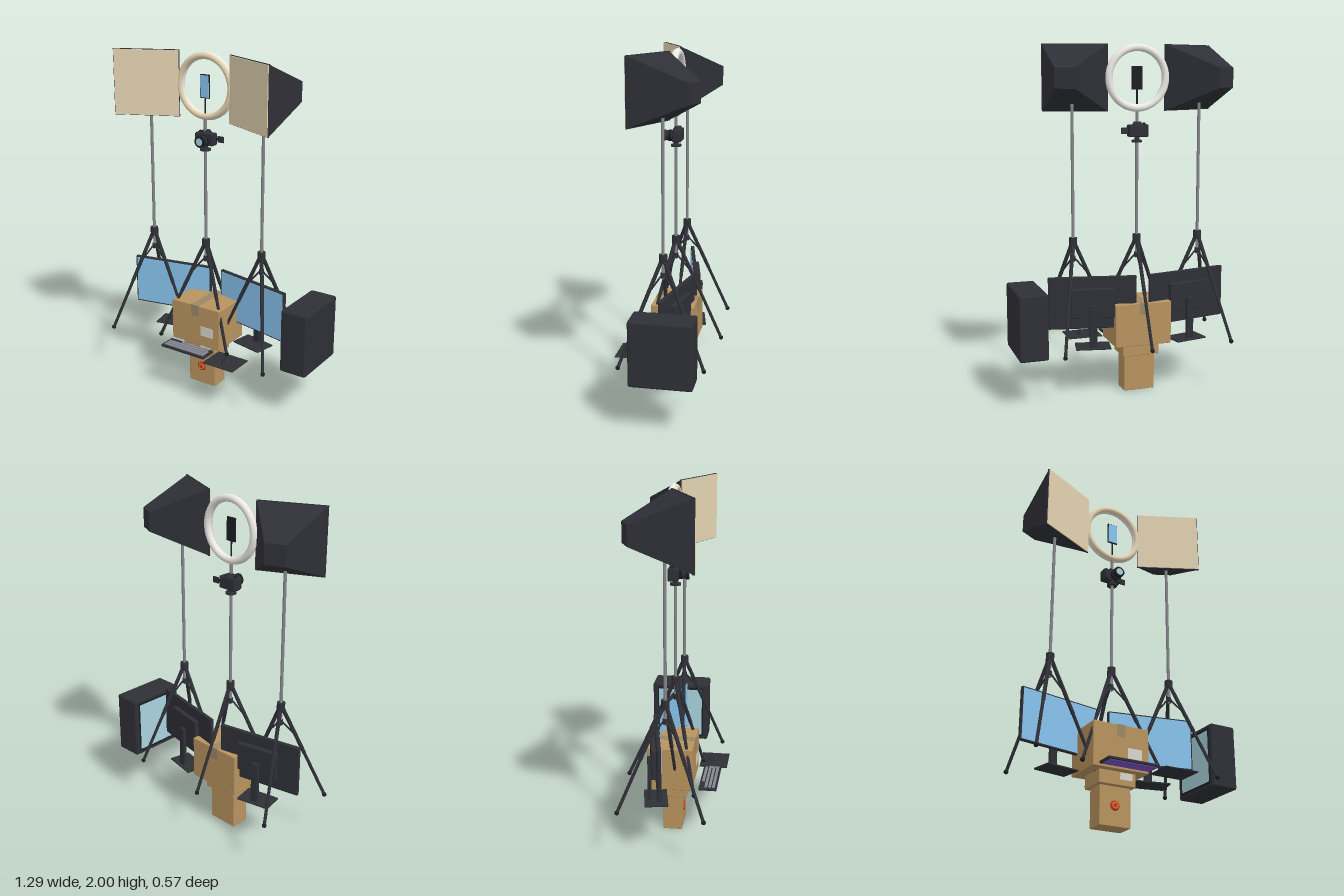
import * as THREE from 'three';
import { RoundedBoxGeometry } from 'three/addons/geometries/RoundedBoxGeometry.js';

const mat = (color) => new THREE.MeshStandardMaterial({ color });
const M = {
  dark: mat(0x2f3037), black: mat(0x1d1e22), metal: mat(0x85878c), card: mat(0xb8935f),
  tape: mat(0x9c8765), paper: mat(0xd8d5cc), screen: mat(0x88c4ee), cream: mat(0xe6d5b3),
  white: mat(0xebe9e4), glass: mat(0xa9d2de), keys: mat(0x858993), purple: mat(0x7d4fc4),
  red: mat(0xc2341f), orange: mat(0xe08a35),
};
const CX = -0.1;      // mirror plane of the studio set
const DESK = 0.29;    // level of the desk items

function add(parent, name, geo, material, x = 0, y = 0, z = 0) {
  const m = new THREE.Mesh(geo, material);
  m.name = name;
  m.position.set(x, y, z);
  parent.add(m);
  return m;
}
const box = (w, h, d) => new THREE.BoxGeometry(w, h, d);
const rbox = (w, h, d, r) => new RoundedBoxGeometry(w, h, d, 3, r);
const cyl = (r, h, n = 20, r2 = r) => new THREE.CylinderGeometry(r, r2, h, n);

function group(parent, name, x = 0, y = 0, z = 0, yaw = 0) {
  const g = new THREE.Group();
  g.name = name;
  g.position.set(x, y, z);
  g.rotation.y = yaw;
  parent.add(g);
  return g;
}

function rod(parent, name, a, b, r, material) {
  const dir = b.clone().sub(a);
  const m = add(parent, name, cyl(r, dir.length(), 12), material);
  m.position.copy(a).lerp(b, 0.5);
  m.quaternion.setFromUnitVectors(new THREE.Vector3(0, 1, 0), dir.normalize());
}

// Pole, collar and three splayed legs
function tripod(g, top) {
  add(g, 'pole', cyl(0.009, top - 0.78, 14), M.metal, 0, (top + 0.78) / 2);
  add(g, 'collar', cyl(0.023, 0.05), M.dark, 0, 0.895);
  add(g, 'lowerCollar', cyl(0.014, 0.03), M.dark, 0, 0.80);
  for (const deg of [-90, 30, 150]) {
    const a = THREE.MathUtils.degToRad(deg), c = Math.cos(a), s = Math.sin(a);
    const at = (r, y) => new THREE.Vector3(c * r, y, s * r);
    const hip = at(0.012, 0.88), foot = at(0.275, 0.3);
    rod(g, 'leg', hip, foot, 0.009, M.dark);
    rod(g, 'legSleeve', hip, hip.clone().lerp(foot, 0.5), 0.011, M.dark);
    rod(g, 'legBrace', at(0.01, 0.80), hip.clone().lerp(foot, 0.3), 0.005, M.dark);
    add(g, 'foot', new THREE.SphereGeometry(0.013, 12, 8), M.black, foot.x, foot.y, foot.z);
  }
}

function softboxStand(root, side) {
  const g = group(root, 'softboxStand', CX + side * 0.38, 0, 0, -side * 0.44);
  tripod(g, 1.7);
  const half = Math.SQRT1_2;
  const shade = new THREE.CylinderGeometry(0.372 * half, 0.11 * half, 0.3, 4, 1).toNonIndexed();
  shade.rotateY(Math.PI / 4).rotateX(Math.PI / 2);
  shade.computeVertexNormals();
  add(g, 'softboxShade', shade, M.dark, 0, 1.81, -0.055);
  add(g, 'softboxRim', box(0.376, 0.374, 0.008), M.dark, 0, 1.81, 0.094);
  add(g, 'diffuser', box(0.37, 0.368, 0.008), M.cream, 0, 1.81, 0.099);
}

function ringLightStand(root) {
  const g = group(root, 'ringLightStand', CX);
  tripod(g, 1.64);
  add(g, 'ringHousing', new THREE.TorusGeometry(0.168, 0.021, 16, 64), M.white, 0, 1.81, -0.008);
  add(g, 'ringDiffuser', new THREE.TorusGeometry(0.168, 0.018, 16, 64), M.cream, 0, 1.81, 0);
  add(g, 'phoneArm', cyl(0.005, 0.12, 10), M.black, 0, 1.69, 0);
  add(g, 'phone', rbox(0.064, 0.132, 0.01, 0.004), M.black, 0, 1.81, 0);
  add(g, 'phoneScreen', box(0.056, 0.122, 0.002), M.screen, 0, 1.81, 0.0055);

  // Camera with its lens, viewfinder hump and flip-out screen
  const c = group(g, 'camera', 0, 1.515, 0);
  add(c, 'mountPlate', cyl(0.03, 0.012), M.dark, 0, -0.06);
  add(c, 'mountHead', cyl(0.014, 0.04), M.dark, 0, -0.04);
  add(c, 'cameraBody', rbox(0.115, 0.07, 0.05, 0.007), M.dark, -0.002, 0, -0.012);
  add(c, 'grip', rbox(0.024, 0.066, 0.03, 0.008), M.dark, -0.045, 0, 0.01);
  add(c, 'viewfinder', cyl(0.022, 0.018, 4, 0.034).rotateY(Math.PI / 4), M.dark, 0, 0.042, -0.01);
  add(c, 'shutterDial', cyl(0.008, 0.01), M.black, -0.04, 0.038, -0.01);
  add(c, 'lensBarrel', cyl(0.029, 0.06, 28).rotateX(Math.PI / 2), M.dark, 0.01, -0.002, 0.04);
  for (const z of [0.03, 0.066])
    add(c, 'lensRing', cyl(0.032, 0.018, 28).rotateX(Math.PI / 2), M.black, 0.01, -0.002, z);
  add(c, 'lensGlass', cyl(0.021, 0.003, 28).rotateX(Math.PI / 2), M.glass, 0.01, -0.002, 0.0755);
  add(c, 'flipScreen', rbox(0.042, 0.036, 0.008, 0.003), M.dark, 0.084, 0.001, -0.03);
  add(c, 'flipHinge', box(0.016, 0.016, 0.008), M.black, 0.06, 0.001, -0.03);
}

function monitor(root, side) {
  const g = group(root, 'monitor', CX + side * 0.283, DESK, -0.05, -side * 0.2);
  add(g, 'monitorCase', rbox(0.505, 0.302, 0.022, 0.006), M.dark, 0, 0.26, -0.01);
  add(g, 'monitorScreen', box(0.488, 0.284, 0.003), M.screen, 0, 0.26, 0.001);
  add(g, 'monitorBack', rbox(0.25, 0.17, 0.03, 0.006), M.dark, 0, 0.26, -0.032);
  add(g, 'standNeck', rbox(0.045, 0.25, 0.022, 0.005), M.dark, 0, 0.13, -0.055);
  add(g, 'standBase', rbox(0.2, 0.01, 0.13, 0.004), M.dark, 0, 0.005, -0.02);
}

function cartons(root) {
  const g = group(root, 'cartonStack', CX);
  add(g, 'smallCarton', rbox(0.185, 0.218, 0.11, 0.004), M.card, 0.002, 0.109, -0.005);
  add(g, 'middleCarton', rbox(0.22, 0.075, 0.165, 0.004), M.card, 0, 0.2525, -0.003);
  add(g, 'largeCarton', rbox(0.335, 0.25, 0.252, 0.004), M.card, 0.002, 0.415, -0.01);
  // Tape over the top and down both ends
  add(g, 'topTape', box(0.052, 0.002, 0.253), M.tape, 0, 0.5405, -0.01);
  for (const z of [0.1165, -0.1365]) add(g, 'endTape', box(0.052, 0.07, 0.002), M.tape, 0, 0.506, z);
  add(g, 'largeLabel', box(0.088, 0.06, 0.002), M.paper, 0.084, 0.386, 0.1165);
  add(g, 'middleLabel', box(0.075, 0.038, 0.002), M.paper, 0.052, 0.267, 0.08);
  // Round red badge with orange ring
  const dome = add(g, 'redBadge', new THREE.SphereGeometry(0.028, 24, 16), M.red, 0, 0.112, 0.05);
  dome.scale.z = 0.3;
  add(g, 'badgeRing', new THREE.TorusGeometry(0.015, 0.004, 10, 28), M.orange, 0, 0.112, 0.055);
}

function keyboard(root) {
  const g = group(root, 'keyboard', -0.097, DESK, 0.203);
  add(g, 'keyboardCase', rbox(0.303, 0.014, 0.104, 0.004), M.dark, 0, 0.006, 0);
  add(g, 'underglow', box(0.28, 0.003, 0.085), M.purple, 0, -0.002, 0);
  for (let row = 0; row < 4; row++) {
    const n = row ? 13 : 11, start = row ? -0.137 : -0.06;
    const w = row ? 0.258 / n : 0.19 / n;
    for (let i = 0; i < n; i++)
      add(g, 'key', box(w - 0.0015, 0.006, 0.015), M.keys, start + w * (i + 0.5), 0.015, -0.033 + row * 0.022);
  }
  add(g, 'sideKeys', box(0.014, 0.006, 0.06), M.keys, 0.133, 0.015, 0.011);
}

function mouseAndMat(root) {
  add(root, 'mouseMat', box(0.203, 0.004, 0.165), M.dark, 0.173, DESK - 0.001, 0.203);
  const m = group(root, 'mouse', 0.181, DESK, 0.2);
  const body = add(m, 'mouseBody', new THREE.SphereGeometry(1, 24, 10, 0, Math.PI * 2, 0, Math.PI / 2), M.dark);
  body.scale.set(0.025, 0.026, 0.041);
  add(m, 'mouseWheel', cyl(0.006, 0.005, 14).rotateZ(Math.PI / 2), M.black, 0, 0.019, 0.022);
}

function computerTower(root) {
  const g = group(root, 'computerTower', 0.563, 0.474, -0.053);
  add(g, 'towerCase', rbox(0.162, 0.372, 0.35, 0.012), M.dark);
  add(g, 'glassPanel', box(0.003, 0.31, 0.28), M.glass, -0.081, 0, 0);
  // Slim frame around the glass
  for (const s of [-1, 1]) {
    add(g, 'panelRail', box(0.005, 0.012, 0.292), M.black, -0.081, s * 0.158, 0);
    add(g, 'panelPost', box(0.005, 0.316, 0.008), M.black, -0.081, 0, s * 0.142);
  }
}

export function createModel() {
  const root = new THREE.Group();
  root.name = 'studioSetup';
  for (const side of [-1, 1]) {
    softboxStand(root, side);
    monitor(root, side);
  }
  ringLightStand(root);
  cartons(root);
  keyboard(root);
  mouseAndMat(root);
  computerTower(root);
  return root;
}
